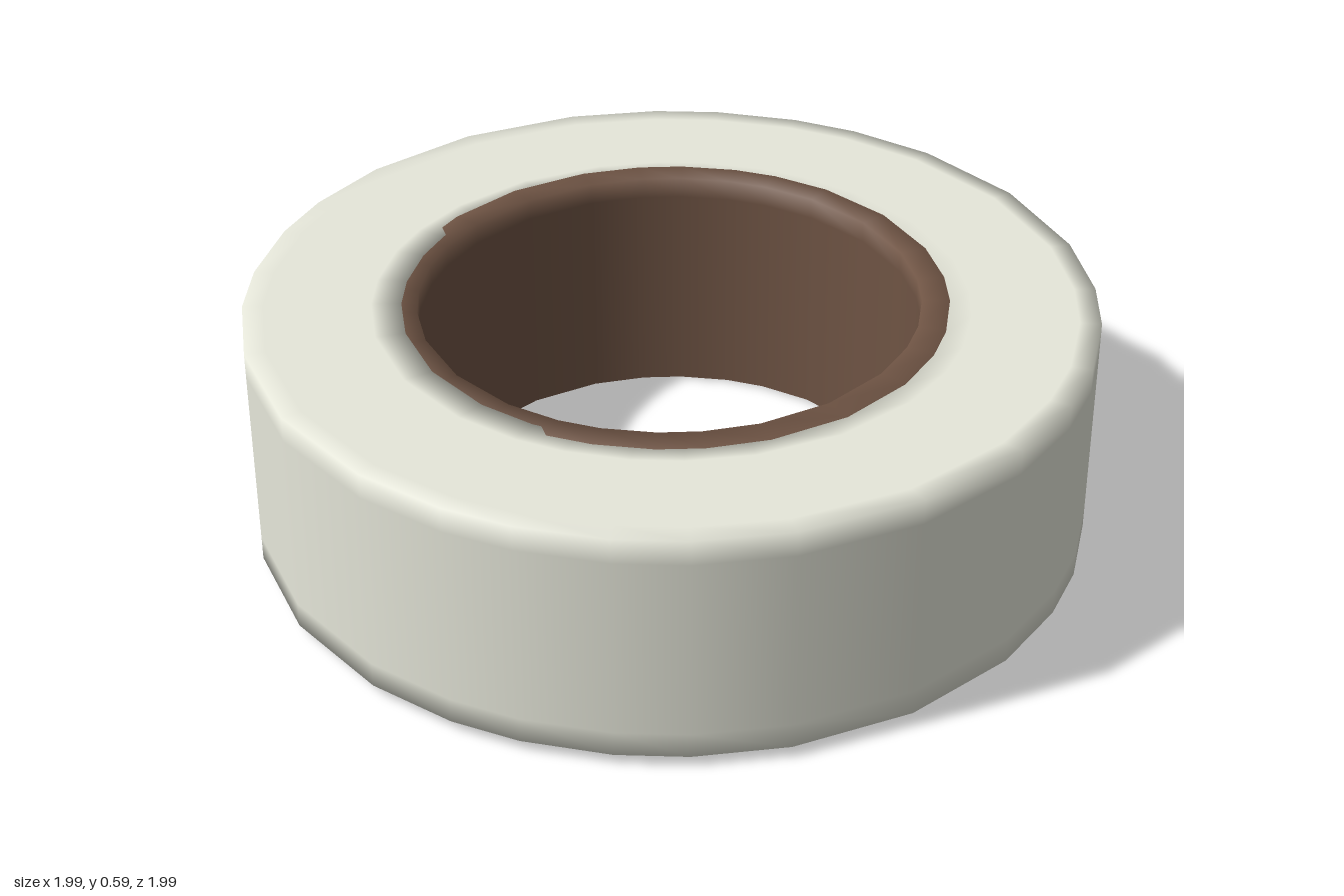
import * as THREE from 'three';

// Corner angles of one quarter turn: closer together near the four sides
const QUARTER = [6, 15.5, 28.2, 45, 61.8, 74.5, 84];
const SIDES = QUARTER.length * 4;

// Closed ring from a profile of [radius, height], with the uneven side spacing
function ring(profile) {
  const geo = new THREE.LatheGeometry(profile.map(([r, y]) => new THREE.Vector2(r, y)), SIDES);
  const v = new THREE.Vector3();
  const up = new THREE.Vector3(0, 1, 0);
  for (let i = 0; i <= SIDES; i++) {
    const n = QUARTER.length;
    const target = THREE.MathUtils.degToRad(QUARTER[i % n] + 90 * Math.floor(i / n));
    const turn = target - (i / SIDES) * Math.PI * 2;
    for (let j = 0; j < profile.length; j++) {
      for (const attr of [geo.attributes.position, geo.attributes.normal]) {
        const k = i * profile.length + j;
        v.fromBufferAttribute(attr, k).applyAxisAngle(up, turn);
        attr.setXYZ(k, v.x, v.y, v.z);
      }
    }
  }
  return geo;
}

function part(name, profile, color) {
  const material = new THREE.MeshStandardMaterial({ color, side: THREE.DoubleSide });
  const mesh = new THREE.Mesh(ring(profile), material);
  mesh.name = name;
  return mesh;
}

export function createModel() {
  const group = new THREE.Group();
  group.name = 'tapeRoll';

  // Wound tape: square corners with edge loops for soft shading
  group.add(part('tape', [
    [0.63, 0.03], [0.7, 0.03], [0.95, 0.03], [1, 0.03], [1, 0.09],
    [1, 0.53], [1, 0.59], [0.95, 0.59], [0.7, 0.59], [0.63, 0.59], [0.63, 0.03],
  ], 0xe6e7da));

  // Cardboard core: slightly turned, tilted and sticking out below
  const core = part('core', [
    [0.59, 0.005], [0.655, 0.005], [0.655, 0.03], [0.655, 0.565], [0.655, 0.592],
    [0.59, 0.592], [0.59, 0.54], [0.59, 0.06], [0.59, 0.005],
  ], 0x6f5444);
  core.position.set(-0.003, 0, -0.008);
  core.scale.z = 1.012;
  core.rotation.set(0.002, 0.08, 0.004);
  group.add(core);

  return group;
}
